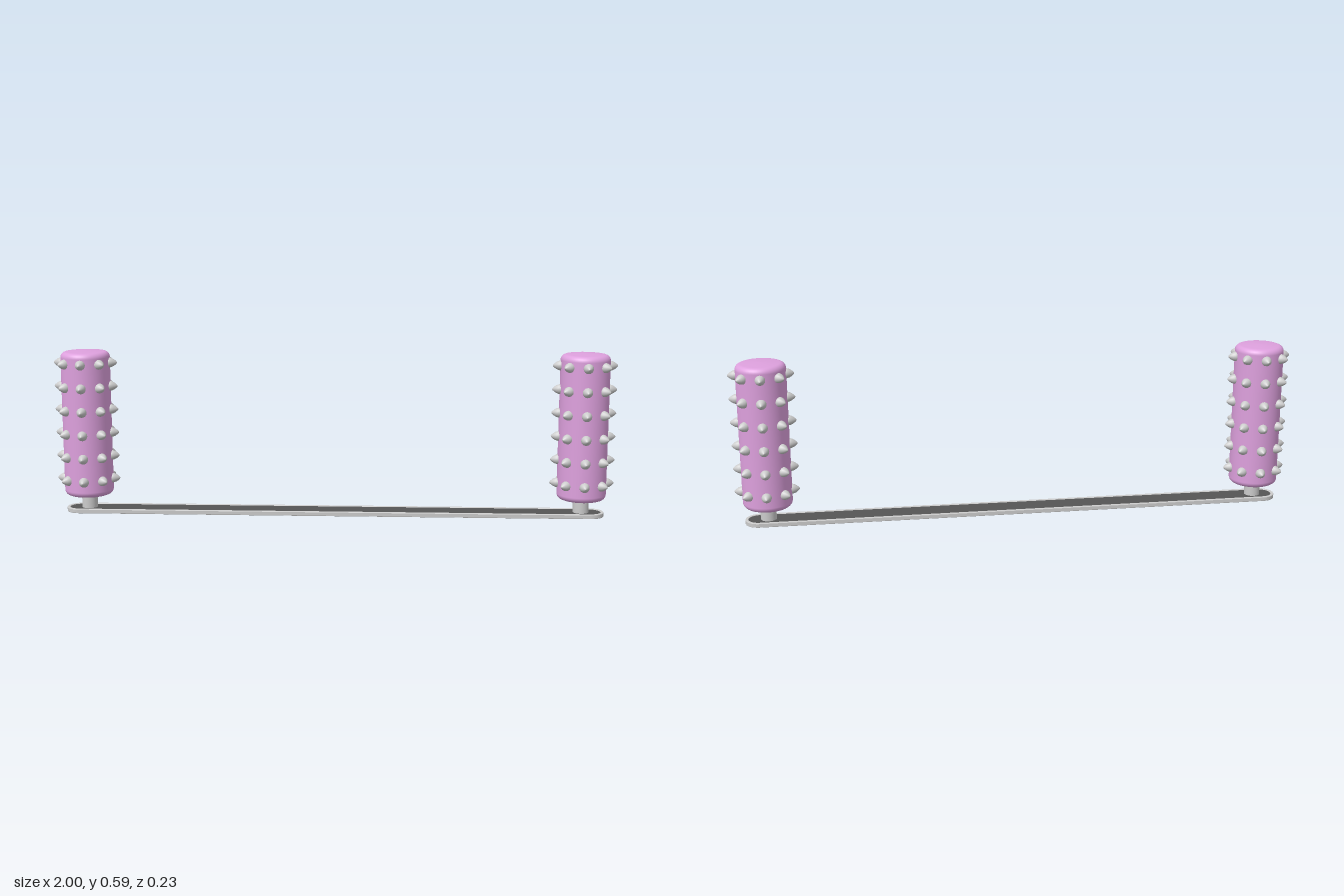
import * as THREE from 'three';

const grey = new THREE.MeshStandardMaterial({ color: 0xcccccc });
const dark = new THREE.MeshStandardMaterial({ color: 0x555555 });
const plum = new THREE.MeshStandardMaterial({ color: 0xdda0dd });

function add(parent, name, geometry, material) {
  const mesh = new THREE.Mesh(geometry, material);
  mesh.name = name;
  parent.add(mesh);
  return mesh;
}

// Long outline with semicircular ends
function stadium(Type, halfLength, r) {
  const c = halfLength - r;
  const s = new Type();
  s.moveTo(-c, -r);
  s.lineTo(c, -r);
  s.absarc(c, 0, r, -Math.PI / 2, Math.PI / 2, false);
  s.lineTo(-c, r);
  s.absarc(-c, 0, r, Math.PI / 2, Math.PI * 1.5, false);
  return s;
}

// Lies flat, from y to y + height
function slab(shape, y, height, bevel) {
  const g = new THREE.ExtrudeGeometry(shape, {
    depth: height - 2 * bevel, bevelEnabled: bevel > 0, bevelSize: bevel,
    bevelThickness: bevel, bevelSegments: 2, curveSegments: 20,
  });
  return g.rotateX(-Math.PI / 2).translate(0, y + bevel, 0);
}

function lathe(points, segments) {
  return new THREE.LatheGeometry(points.map(([r, y]) => new THREE.Vector2(r, y)), segments);
}

// Roller body with rounded rims and a faintly domed top
function rollerGeometry() {
  const R = 0.087, c = 0.02, y0 = 0.063, y1 = 0.583;
  const pts = [[0, y0]];
  for (let i = 0; i <= 6; i++) {
    const a = (i / 6) * Math.PI / 2;
    pts.push([R - c + c * Math.sin(a), y0 + c - c * Math.cos(a)]);
  }
  for (let i = 0; i <= 6; i++) {
    const a = (i / 6) * Math.PI / 2;
    pts.push([R - c + c * Math.cos(a), y1 - c + c * Math.sin(a)]);
  }
  pts.push([0.035, 0.586], [0, 0.587]);
  return lathe(pts, 48);
}

export function createModel() {
  const model = new THREE.Group();
  model.name = 'spikedRollers';

  // Base bar: grey rim around a dark inlay
  const rim = stadium(THREE.Shape, 0.966, 0.049);
  rim.holes.push(stadium(THREE.Path, 0.959, 0.042));
  add(model, 'baseRim', slab(rim, 0, 0.016, 0.002), grey);
  add(model, 'baseInlay', slab(stadium(THREE.Shape, 0.96, 0.043), 0.002, 0.012, 0), dark);

  const body = rollerGeometry();
  const post = new THREE.CylinderGeometry(0.028, 0.028, 0.06, 32).translate(0, 0.036, 0);
  // Bullet-shaped stud, pointing along +z from the roller axis
  const stud = lathe([[0.018, 0.075], [0.0178, 0.087], [0.0165, 0.093], [0.0135, 0.1],
    [0.0085, 0.107], [0.004, 0.112], [0, 0.114]], 16).rotateX(Math.PI / 2);

  for (const side of [-1, 1]) {
    const roller = new THREE.Group();
    roller.name = side > 0 ? 'leftRoller' : 'rightRoller';
    roller.position.x = side * 0.886;
    add(roller, 'post', post, grey);
    add(roller, 'rollerBody', body, plum);
    // Six rings of eight studs
    for (let row = 0; row < 6; row++) {
      for (let k = 0; k < 8; k++) {
        const m = add(roller, 'stud', stud, grey);
        m.position.y = 0.122 + row * 0.0842;
        m.rotation.y = k * Math.PI / 4;
      }
    }
    model.add(roller);
  }
  return model;
}
